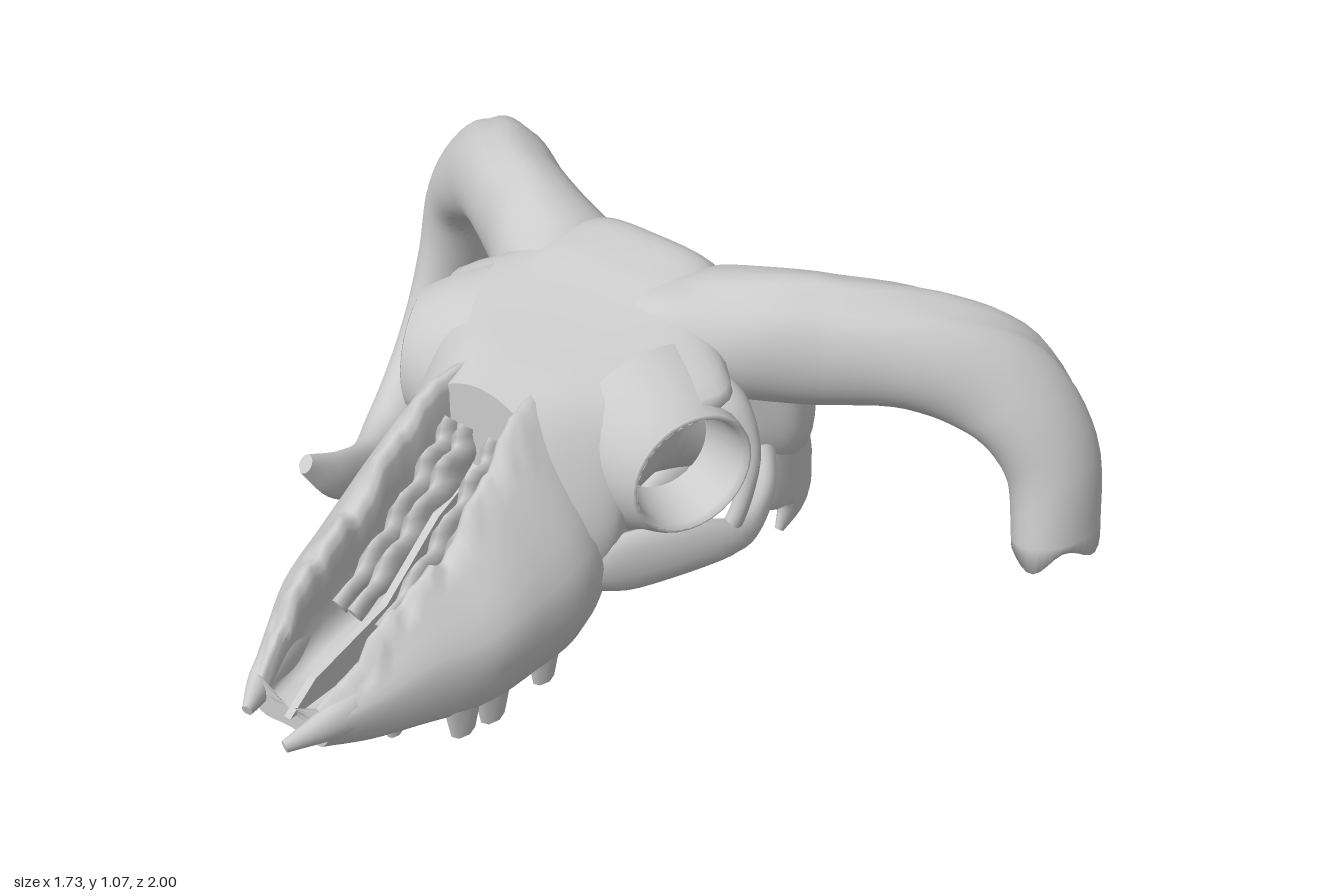
import * as THREE from 'three';

const mat = new THREE.MeshStandardMaterial({ color: 0xcccccc, side: THREE.DoubleSide });
const V = (x, y, z) => new THREE.Vector3(x, y, z);
const profile = pts => pts.map(p => new THREE.Vector2(...p));

// Skin a list of rings (equal point counts), cap both ends, wind faces outward.
function skin(rings) {
  const n = rings[0].length, m = rings.length, pos = [], idx = [];
  const centre = r => r.reduce((s, p) => s.add(p), V(0, 0, 0)).divideScalar(n);
  rings.flat().forEach(p => pos.push(p.x, p.y, p.z));
  for (let i = 0; i < m - 1; i++) for (let j = 0; j < n; j++) {
    const a = i * n + j, b = i * n + (j + 1) % n;
    idx.push(a, b, a + n, b, b + n, a + n);
  }
  [0, m - 1].forEach((row, e) => {
    const base = pos.length / 3;
    [...rings[row], centre(rings[row])].forEach(p => pos.push(p.x, p.y, p.z));
    for (let j = 0; j < n; j++) {
      const a = base + j, b = base + (j + 1) % n;
      e ? idx.push(a, b, base + n) : idx.push(b, a, base + n);
    }
  });
  const at = i => V(pos[3 * i], pos[3 * i + 1], pos[3 * i + 2]);
  let vol = 0;
  for (let i = 0; i < idx.length; i += 3) vol += at(idx[i]).dot(at(idx[i + 1]).cross(at(idx[i + 2])));
  if (vol < 0) idx.reverse();
  const g = new THREE.BufferGeometry();
  g.setAttribute('position', new THREE.Float32BufferAttribute(pos, 3));
  g.setIndex(idx);
  g.computeVertexNormals();
  return g;
}

// Smooth loft: half cross-sections [y, z] at each x, mirrored in z.
function loft(stations, steps, around, warp = p => p) {
  const curves = stations.map(([x, half]) => {
    const ring = half.map(([y, z]) => V(x, y, z));
    const other = half.slice(1, -1).reverse().map(([y, z]) => V(x, y, -z));
    return new THREE.CatmullRomCurve3([...ring, ...other], true);
  });
  const cols = [];
  for (let j = 0; j < around; j++) {
    const col = new THREE.CatmullRomCurve3(curves.map(c => c.getPoint(j / around)));
    cols.push(Array.from({ length: steps + 1 }, (_, i) => warp(col.getPoint(i / steps))));
  }
  return skin(cols[0].map((_, i) => cols.map(c => c[i])));
}

// Tapered elliptical sweep through [x, y, z, ra, rb]; rb is measured toward z.
function sweep(pts, { side = 1, steps = 16, around = 14, shape = () => 1, hollow = false } = {}) {
  const path = new THREE.CatmullRomCurve3(pts.map(p => V(p[0], p[1], p[2] * side)));
  const radii = new THREE.CatmullRomCurve3(pts.map(p => V(p[3], p[4], 0)));
  const rings = [];
  const ring = (t, k, jag) => {
    const c = path.getPoint(t), T = path.getTangent(t), r = radii.getPoint(t);
    const B = V(0, 0, 1).addScaledVector(T, -T.z).normalize(), A = T.clone().cross(B);
    rings.push(Array.from({ length: around }, (_, j) => {
      const th = j / around * Math.PI * 2, s = k * shape(th, t);
      return c.clone().addScaledVector(A, r.x * s * Math.cos(th)).addScaledVector(B, r.y * s * Math.sin(th))
        .addScaledVector(T, jag * Math.sin(th * 4 + 1));
    }));
  };
  for (let i = 0; i <= steps; i++) ring(i / steps, 1, hollow && i === steps ? 0.02 : 0);
  if (hollow) { ring(0.99, 0.72, 0.015); ring(0.93, 0.55, 0); }
  return skin(rings);
}

export function createModel() {
  const model = new THREE.Group();
  const add = (name, geo, parent = model) => {
    const m = new THREE.Mesh(geo, mat);
    m.name = name;
    parent.add(m);
    return m;
  };
  const drift = p => { p.z += 0.05 * Math.min(0, p.x + 0.1); return p; };

  // Braincase and brow: x, top y, shoulder, brow edge, temple, lower side, bottom y
  const skull = [
    [-0.2, 0.925, 0.9, 0.09, 0.81, 0.18, 0.6, 0.27, 0.43, 0.22, 0.42],
    [-0.09, 0.95, 0.93, 0.15, 0.85, 0.24, 0.64, 0.3, 0.43, 0.22, 0.41],
    [0.04, 0.975, 0.955, 0.2, 0.88, 0.34, 0.72, 0.21, 0.52, 0.16, 0.44],
    [0.15, 1.0, 0.98, 0.22, 0.89, 0.39, 0.76, 0.19, 0.54, 0.15, 0.46],
    [0.27, 1.03, 1.01, 0.2, 0.9, 0.28, 0.76, 0.18, 0.55, 0.15, 0.45],
    [0.39, 1.035, 1.01, 0.17, 0.9, 0.2, 0.75, 0.2, 0.53, 0.2, 0.41],
    [0.48, 0.9, 0.88, 0.15, 0.8, 0.21, 0.68, 0.24, 0.5, 0.25, 0.37],
    [0.58, 0.77, 0.76, 0.15, 0.7, 0.23, 0.6, 0.28, 0.45, 0.27, 0.34],
    [0.69, 0.69, 0.68, 0.14, 0.63, 0.21, 0.55, 0.25, 0.42, 0.23, 0.35],
    [0.755, 0.61, 0.6, 0.12, 0.57, 0.18, 0.51, 0.2, 0.43, 0.16, 0.4],
    [0.775, 0.55, 0.545, 0.05, 0.53, 0.08, 0.51, 0.09, 0.48, 0.06, 0.47],
  ].map(([x, t, sy, sz, by, bz, my, mz, ly, lz, b]) => [x, [[t, 0], [sy, sz], [by, bz], [my, mz], [ly, lz], [b, 0]]]);
  add('cranium', loft(skull, 50, 50));

  // Snout: an open trough with a ragged upper rim, sinking into the cranium
  const snout = [
    [-0.78, 0.45, 0.08, 0.42, 0.12, 0.35, 0.09, 0.355, 0.39],
    [-0.68, 0.54, 0.11, 0.45, 0.175, 0.33, 0.13, 0.355, 0.4],
    [-0.58, 0.63, 0.12, 0.49, 0.225, 0.335, 0.18, 0.38, 0.43],
    [-0.45, 0.685, 0.13, 0.5, 0.275, 0.325, 0.22, 0.4, 0.45],
    [-0.32, 0.82, 0.125, 0.52, 0.295, 0.325, 0.22, 0.41, 0.46],
    [-0.18, 0.92, 0.1, 0.56, 0.305, 0.345, 0.22, 0.41, 0.48],
    [-0.04, 0.92, 0.08, 0.56, 0.25, 0.42, 0.18, 0.43, 0.5],
  ].map(([x, ry, rz, oy, oz, ly, lz, b, f]) => [x, [
    [f, 0], [f + 0.01, rz * 0.75], [ry - 0.03, rz * 0.85], [ry, rz],
    [ry * 0.7 + oy * 0.3, rz * 0.55 + oz * 0.45], [oy, oz], [ly, lz], [b, 0]]]);
  add('snout', loft(snout, 42, 56, p => {
    if (Math.abs(p.z) < 0.15 && p.y > 0.5 && p.x < -0.22) p.y += 0.012 * Math.sin(p.x * 47) + 0.008 * Math.sin(p.x * 113);
    return drift(p);
  }));

  // Thin bones inside the nasal opening
  const septum = new THREE.Shape(profile([[-0.8, 0.4], [-0.72, 0.46], [-0.5, 0.52], [-0.33, 0.66], [-0.2, 0.72], [-0.2, 0.42]]));
  add('nasalSeptum', new THREE.ExtrudeGeometry(septum, { depth: 0.018, bevelEnabled: false })).position.z = -0.03;
  const ragged = (th, t) => 1 + 0.25 * Math.sin(t * 27 + th * 2);

  for (const s of [1, -1]) {
    const side = new THREE.Group();
    side.name = s > 0 ? 'leftSideBones' : 'rightSideBones';
    model.add(side);

    for (const z of [0.04, 0.085]) add('nasalScroll', sweep([
      [-0.55, 0.5, z - 0.02 * s, 0.02, 0.014], [-0.4, 0.58, z - 0.015 * s, 0.05, 0.018],
      [-0.27, 0.7, z, 0.06, 0.02], [-0.18, 0.79, z, 0.05, 0.018]], { side: s, steps: 24, around: 8, shape: ragged }), side);

    // Pointed front of the upper jaw
    add('jawTip', sweep([
      [s > 0 ? -0.86 : -0.83, 0.39, 0.07 - 0.04 * s, 0.015, 0.012], [-0.76, 0.41, 0.1 - 0.033 * s, 0.045, 0.03],
      [-0.65, 0.43, 0.13 - 0.027 * s, 0.075, 0.04], [-0.5, 0.45, 0.16 - 0.02 * s, 0.07, 0.04]], { side: s }), side);

    // Eye socket: thin rim open toward the temple, with a flare onto the face
    const socket = new THREE.Group();
    socket.name = 'eyeSocket';
    side.add(socket);
    add('socketRim', new THREE.LatheGeometry(profile([[0.105, -0.12], [0.122, -0.06], [0.13, -0.01], [0.137, 0.005],
      [0.146, 0], [0.15, -0.03], [0.138, -0.1]]), 32), socket);
    add('socketFlare', new THREE.LatheGeometry(profile([[0.137, 0.005], [0.15, -0.005], [0.168, -0.035], [0.195, -0.08],
      [0.23, -0.16]]), 24, Math.atan2(-0.93, -0.37 * s) - 1.75, 3.5), socket);
    socket.position.set(0.035, 0.755, 0.385 * s);
    socket.quaternion.setFromUnitVectors(V(0, 1, 0), V(-0.37, 0, 0.93 * s).normalize());

    // Cheekbone running back below the socket
    add('cheekArch', sweep([
      [-0.17, 0.54, 0.24, 0.05, 0.03], [-0.07, 0.55, 0.31, 0.08, 0.03], [0.06, 0.55, 0.38, 0.065, 0.03],
      [0.18, 0.525, 0.41, 0.04, 0.03], [0.3, 0.505, 0.375, 0.035, 0.025], [0.41, 0.5, 0.31, 0.03, 0.03],
      [0.52, 0.5, 0.2, 0.05, 0.05]], { side: s, steps: 28 }), side);
    add('socketBackBar', sweep([
      [0.15, 0.53, 0.4, 0.03, 0.02], [0.175, 0.63, 0.42, 0.022, 0.02], [0.19, 0.76, 0.42, 0.022, 0.025],
      [0.18, 0.86, 0.37, 0.04, 0.03], [0.17, 0.91, 0.29, 0.03, 0.03]], { side: s }), side);

    // Underside: palate bar, ear capsule, rear spur, neck joint
    add('palateBar', sweep([
      [-0.22, 0.39, 0.15, 0.04, 0.05], [-0.08, 0.385, 0.12, 0.035, 0.025], [0.07, 0.365, 0.1, 0.045, 0.018],
      [0.2, 0.395, 0.09, 0.045, 0.02], [0.38, 0.45, 0.09, 0.07, 0.05]], { side: s }), side);
    const ear = add('earCapsule', new THREE.IcosahedronGeometry(0.09, 1), side);
    ear.scale.set(1.1, 1, 0.7);
    ear.position.set(0.43, 0.43, 0.16 * s);
    add('rearSpur', sweep([
      [0.58, 0.5, 0.22, 0.1, 0.06], [0.6, 0.38, 0.24, 0.1, 0.035], [0.62, 0.3, 0.25, 0.065, 0.025],
      [0.57, 0.235, 0.255, 0.012, 0.01]], { side: s }), side);
    const joint = add('neckJoint', new THREE.SphereGeometry(0.07, 12, 10), side);
    joint.scale.set(0.7, 1, 0.9);
    joint.position.set(0.725, 0.5, 0.1 * s);

    // Cheek teeth, mostly sunk in the jaw
    for (const [x, y, r, z] of [[-0.48, 0.265, 0.055, 0.2], [-0.4, 0.26, 0.055, 0.21], [-0.25, 0.28, 0.05, 0.22], [-0.62, 0.315, 0.035, 0.14]]) {
      const tooth = add('tooth', new THREE.CylinderGeometry(r, r * 0.6, 0.1, 7), side);
      tooth.scale.z = 0.6;
      tooth.position.set(x, y + 0.05, z * s + 0.05 * (x + 0.1));
    }
  }

  // Horns: shared upper arc; the right one curls forward, the left is broken off
  const arc = y => [[0.27, y + 0.025, 0.06, 0.08, 0.15], [0.32, y + 0.01, 0.2, 0.135, 0.155], [0.43, y + 0.01, 0.4, 0.155, 0.12],
    [0.56, y, 0.6, 0.135, 0.118], [0.66, y - 0.075, 0.755, 0.135, 0.105]];
  const stump = [[0.705, 0.67, 0.865, 0.125, 0.095], [0.695, 0.455, 0.915, 0.128, 0.085]];
  const curl = [[0.73, 0.67, 0.87, 0.125, 0.095], [0.735, 0.49, 0.91, 0.125, 0.085], [0.68, 0.31, 0.92, 0.125, 0.08],
    [0.56, 0.17, 0.9, 0.115, 0.08], [0.4, 0.095, 0.855, 0.1, 0.075], [0.25, 0.105, 0.8, 0.085, 0.055],
    [0.12, 0.165, 0.775, 0.065, 0.035], [0.02, 0.245, 0.785, 0.025, 0.02]];
  const grooves = s => (th, t) => {
    const dip = c => Math.exp(-(((th - Math.PI + s * c) / 0.2) ** 2));
    return 1 - Math.min(1, t * 2) * (0.1 * dip(0.55) + 0.05 * dip(-0.3));
  };
  add('brokenLeftHorn', sweep([...arc(0.9), ...stump], { side: 1, steps: 36, around: 36, shape: grooves(1), hollow: true }));
  add('curledRightHorn', sweep([...arc(0.885), ...curl], { side: -1, steps: 64, around: 36, shape: grooves(-1) }));
  return model;
}
